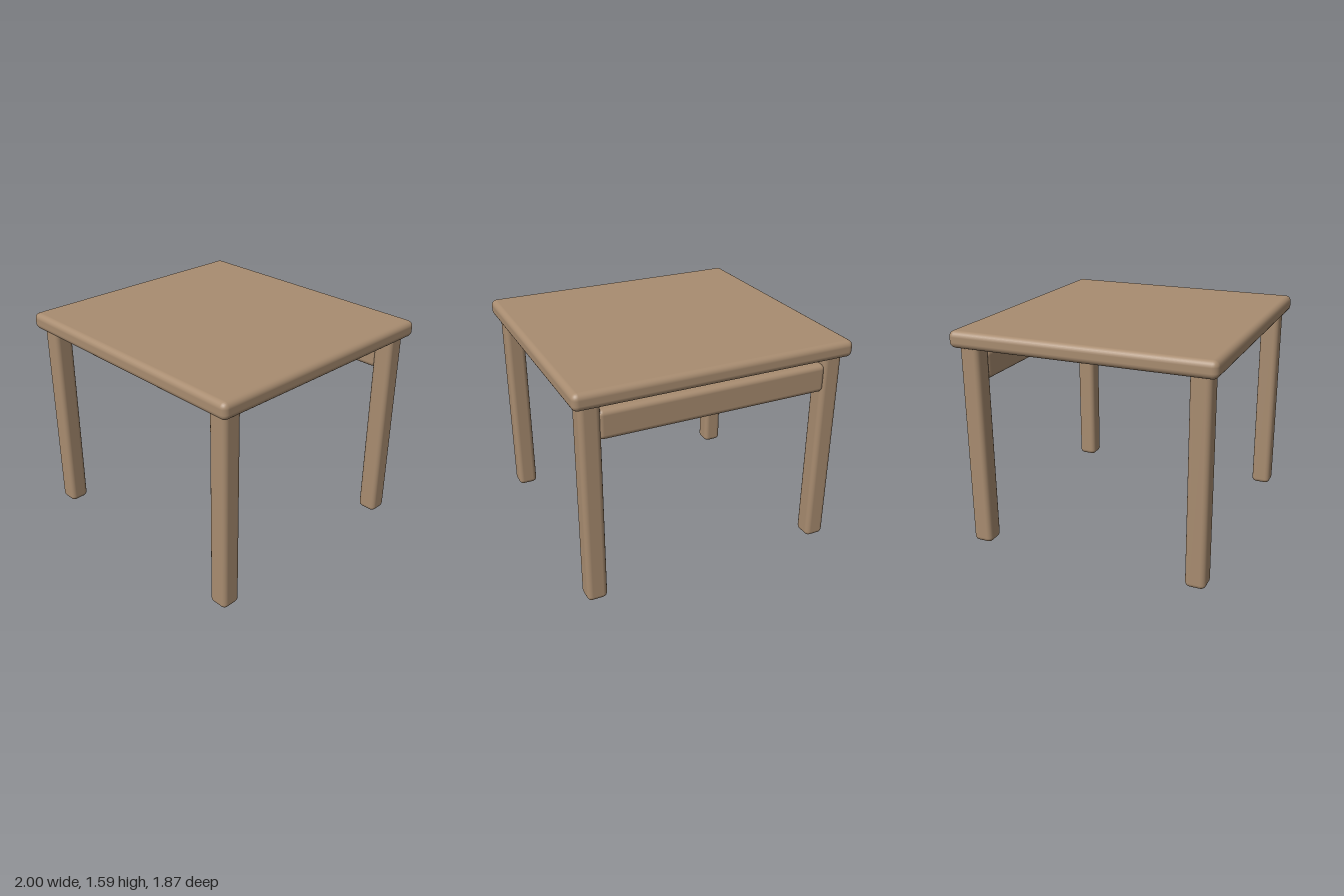
import * as THREE from 'three';
import { RoundedBoxGeometry } from 'three/addons/geometries/RoundedBoxGeometry.js';

export function createModel() {
  const table = new THREE.Group();
  table.name = 'table';

  const wood = new THREE.MeshStandardMaterial({ color: 0xa88c70 });
  wood.name = 'wood';

  // Rounded wooden block, placed by its centre
  const addBlock = (name, [w, h, d], [x, y, z], radius) => {
    const mesh = new THREE.Mesh(new RoundedBoxGeometry(w, h, d, 3, radius), wood);
    mesh.name = name;
    mesh.position.set(x, y, z);
    table.add(mesh);
  };

  // Table top
  addBlock('tableTop', [2, 0.12, 1.87], [0, 1.525, 0], 0.042);

  // Four legs, reaching slightly into the top
  for (const [end, sz] of [['front', 1], ['back', -1]]) {
    for (const [side, sx] of [['Left', 1], ['Right', -1]]) {
      addBlock(`${end}${side}Leg`, [0.145, 1.51, 0.145], [sx * 0.877, 0.755, sz * 0.812], 0.036);
    }
  }

  // Single rail between the back legs
  addBlock('backRail', [1.65, 0.205, 0.138], [0, 1.3175, -0.812], 0.036);

  return table;
}
